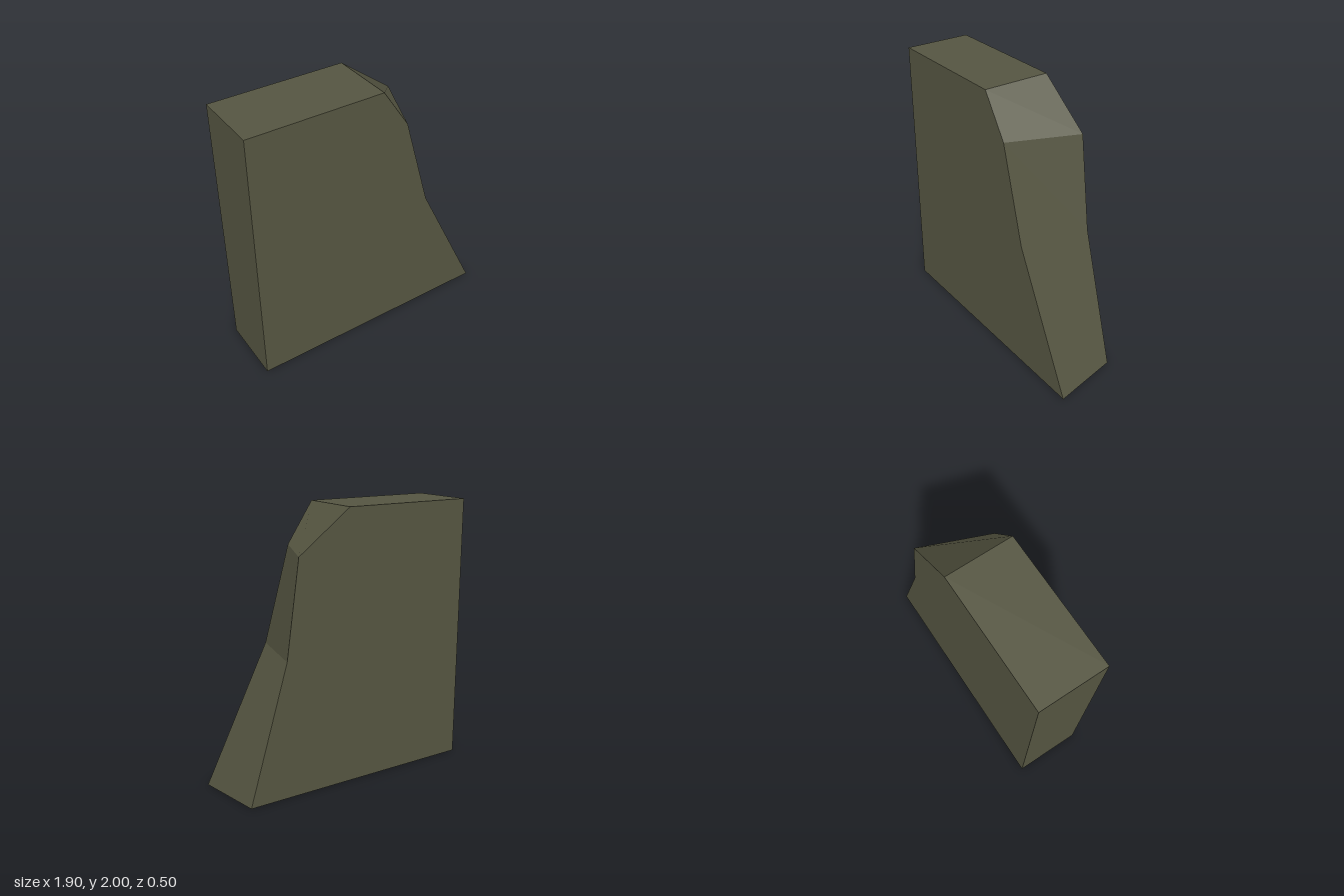
import * as THREE from 'three';

// Slab with a tapering, twisted right edge; each side quad keeps one normal.
export function createModel() {
  const stone = new THREE.MeshStandardMaterial({ color: 0x555541 });
  stone.name = 'dark olive';
  const depth = 0.25;

  // Outlines run counter-clockwise, with matching corners front and back.
  const front = [[-0.95, 0], [0.95, 0], [0.45, 1], [0.25, 1.7], [0.05, 2], [-0.95, 2]];
  const back = [[-0.95, 0], [0.85, 0], [0.55, 1], [0.45, 1.7], [0.05, 2], [-0.95, 2]];
  const group = new THREE.Group();
  group.name = 'slab';

  const add = (name, geometry) => {
    const mesh = new THREE.Mesh(geometry, stone);
    mesh.name = name;
    group.add(mesh);
  };

  // Front and back faces
  const outline = (points) => new THREE.Shape(points.map(([x, y]) => new THREE.Vector2(x, y)));
  add('frontFace', new THREE.ShapeGeometry(outline(front)).translate(0, 0, depth));
  const mirrored = back.map(([x, y]) => [-x, y]).reverse();
  add('backFace', new THREE.ShapeGeometry(outline(mirrored)).rotateY(Math.PI).translate(0, 0, -depth));

  // Rim: one quad per outline edge, split from lower back to upper front
  const positions = [];
  const normals = [];
  front.forEach((p, i) => {
    const j = (i + 1) % front.length;
    const a = new THREE.Vector3(...p, depth);
    const b = new THREE.Vector3(...back[i], -depth);
    const c = new THREE.Vector3(...back[j], -depth);
    const d = new THREE.Vector3(...front[j], depth);
    const normal = c.clone().sub(a).cross(d.clone().sub(b)).normalize();
    for (const v of [a, b, d, b, c, d]) {
      positions.push(...v.toArray());
      normals.push(...normal.toArray());
    }
  });
  const rim = new THREE.BufferGeometry();
  rim.setAttribute('position', new THREE.Float32BufferAttribute(positions, 3));
  rim.setAttribute('normal', new THREE.Float32BufferAttribute(normals, 3));
  add('rim', rim);

  return group;
}
